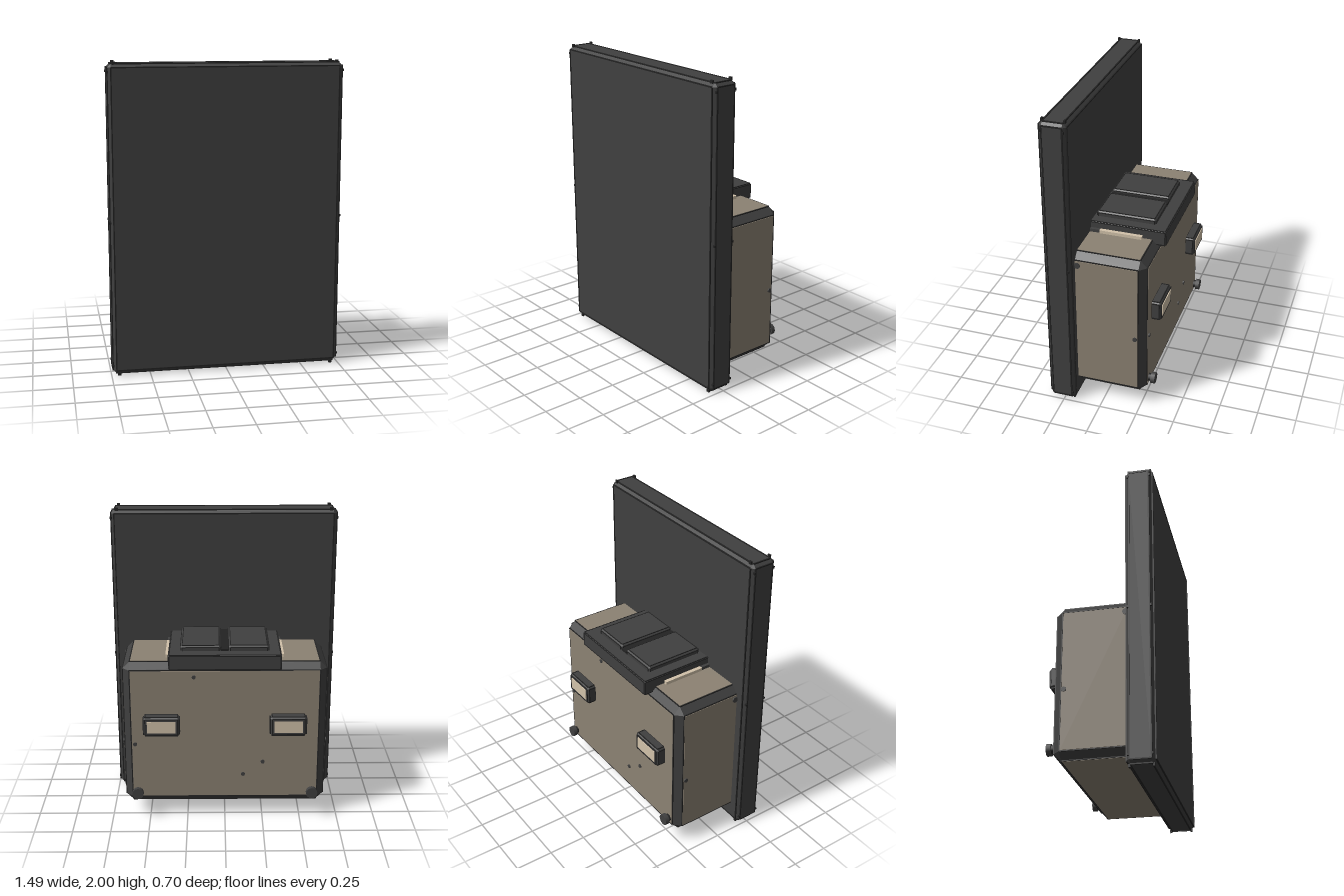
import * as THREE from 'three';
import { ConvexGeometry } from 'three/addons/geometries/ConvexGeometry.js';

const flat = (name, color) => Object.assign(new THREE.MeshStandardMaterial({ color }), { name });

export function createModel() {
  const dark = flat('charcoal', 0x404040);
  const trim = flat('blackTrim', 0x222222);
  const beige = flat('beige', 0x8c8273);
  const cream = flat('cream', 0xd2c2aa);
  const root = new THREE.Group();
  root.name = 'wallMountedUnit';

  function add(parent, name, geometry, material, x = 0, y = 0, z = 0) {
    const mesh = new THREE.Mesh(geometry, material);
    mesh.name = name;
    mesh.position.set(x, y, z);
    parent.add(mesh);
    return mesh;
  }

  // Box given by its limits
  function box(parent, name, material, x0, x1, y0, y1, z0, z1) {
    return add(parent, name, new THREE.BoxGeometry(x1 - x0, y1 - y0, z1 - z0), material,
      (x0 + x1) / 2, (y0 + y1) / 2, (z0 + z1) / 2);
  }

  // Box with every edge cut at 45 degrees, with thin rods along the cut edges
  function chamferedBox(parent, name, x0, x1, y0, y1, z0, z1, cut, rod) {
    const group = new THREE.Group();
    group.name = name;
    group.position.set((x0 + x1) / 2, (y0 + y1) / 2, (z0 + z1) / 2);
    parent.add(group);
    const half = [(x1 - x0) / 2, (y1 - y0) / 2, (z1 - z0) / 2];
    const points = [];
    for (const sx of [-1, 1]) for (const sy of [-1, 1]) for (const sz of [-1, 1]) {
      const s = [sx, sy, sz];
      for (let axis = 0; axis < 3; axis++) {
        points.push(new THREE.Vector3(...half.map((h, i) => s[i] * (i === axis ? h : h - cut))));
      }
    }
    add(group, name + 'Shell', new ConvexGeometry(points), dark);
    if (!rod) return group;
    for (let axis = 0; axis < 3; axis++) {
      const a = (axis + 1) % 3, b = (axis + 2) % 3;
      for (const sa of [-1, 1]) for (const sb of [-1, 1]) for (const outer of [a, b]) {
        const size = [rod, rod, rod], at = [0, 0, 0];
        size[axis] = 2 * (half[axis] - cut);
        at[a] = sa * (half[a] - (outer === a ? 0 : cut));
        at[b] = sb * (half[b] - (outer === b ? 0 : cut));
        add(group, name + 'EdgeTrim', new THREE.BoxGeometry(...size), trim, ...at);
      }
    }
    return group;
  }

  // Tall front panel
  chamferedBox(root, 'frontPanel', -0.74, 0.74, 0.015, 1.985, 0.175, 0.345, 0.022, 0.008);

  // Rear case with dark chamfered corners
  chamferedBox(root, 'case', -0.66, 0.66, 0.1, 1.09, -0.28, 0.25, 0.045, 0.006);
  const p = 0.004;
  box(root, 'backPlate', beige, -0.61, 0.61, 0.15, 1.04, -0.28 - p, -0.28 + p);
  box(root, 'topPlate', beige, -0.61, 0.61, 1.09 - p, 1.09 + p, -0.23, 0.175);
  box(root, 'bottomPlate', beige, -0.61, 0.61, 0.1 - p, 0.1 + p, -0.23, 0.175);

  // Cap on top of the case
  chamferedBox(root, 'cap', -0.36, 0.36, 1.06, 1.16, -0.32, 0.2, 0.006, 0.005);
  box(root, 'capSpine', trim, -0.025, 0.025, 1.155, 1.175, -0.235, 0.16);
  for (const s of [-1, 1]) {
    const side = s < 0 ? 'right' : 'left';
    const span = (a, b) => (s < 0 ? [-b, -a] : [a, b]);

    box(root, side + 'SidePlate', beige, ...span(0.66 - p, 0.66 + p), 0.15, 1.04, -0.23, 0.175);

    // Raised pad and pale strip beside the cap
    chamferedBox(root, side + 'Pad', ...span(0.025, 0.285), 1.14, 1.195, -0.235, 0.16, 0.012, 0.005);
    box(root, side + 'PaleStrip', cream, ...span(0.358, 0.385), 1.09, 1.115, -0.17, 0.11);
    box(root, side + 'StripEnd', dark, ...span(0.358, 0.38), 1.09, 1.115, 0.11, 0.18);

    // Framed block on the back
    chamferedBox(root, side + 'BackBlock', ...span(0.295, 0.53), 0.61, 0.74, -0.345, -0.27, 0.012, 0.006);
    box(root, side + 'BackBlockFace', cream, ...span(0.32, 0.505), 0.635, 0.715, -0.35, -0.343);

    // Round foot knob with stem
    const stem = add(root, side + 'KnobStem', new THREE.CylinderGeometry(0.026, 0.026, 0.03, 12), trim, s * 0.578, 0.185, -0.29);
    const knob = add(root, side + 'Knob', new THREE.CylinderGeometry(0.038, 0.038, 0.028, 12), dark, s * 0.578, 0.185, -0.316);
    stem.rotation.x = knob.rotation.x = Math.PI / 2;

    // Small studs on the side
    for (const [y, z, r] of [[1.01, 0.16, 0.02], [0.53, -0.215, 0.015]]) {
      const stud = add(root, side + 'SideStud', new THREE.CylinderGeometry(r, r, 0.014, 10), dark, s * 0.664, y, z);
      stud.rotation.z = Math.PI / 2;
    }
  }

  // Small studs on the back plate
  for (const [x, y] of [[0.59, 0.53], [0.2, 1.0], [-0.25, 0.4], [-0.12, 0.31]]) {
    const stud = add(root, 'backStud', new THREE.CylinderGeometry(0.013, 0.013, 0.012, 10), dark, x, y, -0.286);
    stud.rotation.x = Math.PI / 2;
  }

  // Tiny nubs at the corners and middle edges of the front panel
  for (const z of [0.19, 0.33]) for (const s of [-1, 1]) {
    for (const y of [0.01, 1.99]) add(root, 'cornerNub', new THREE.BoxGeometry(0.02, 0.02, 0.012), trim, s * 0.7, y, z);
    for (const y of [0.065, 1, 1.935]) add(root, 'sideNub', new THREE.BoxGeometry(0.014, 0.014, 0.012), trim, s * 0.74, y, z);
  }
  return root;
}
